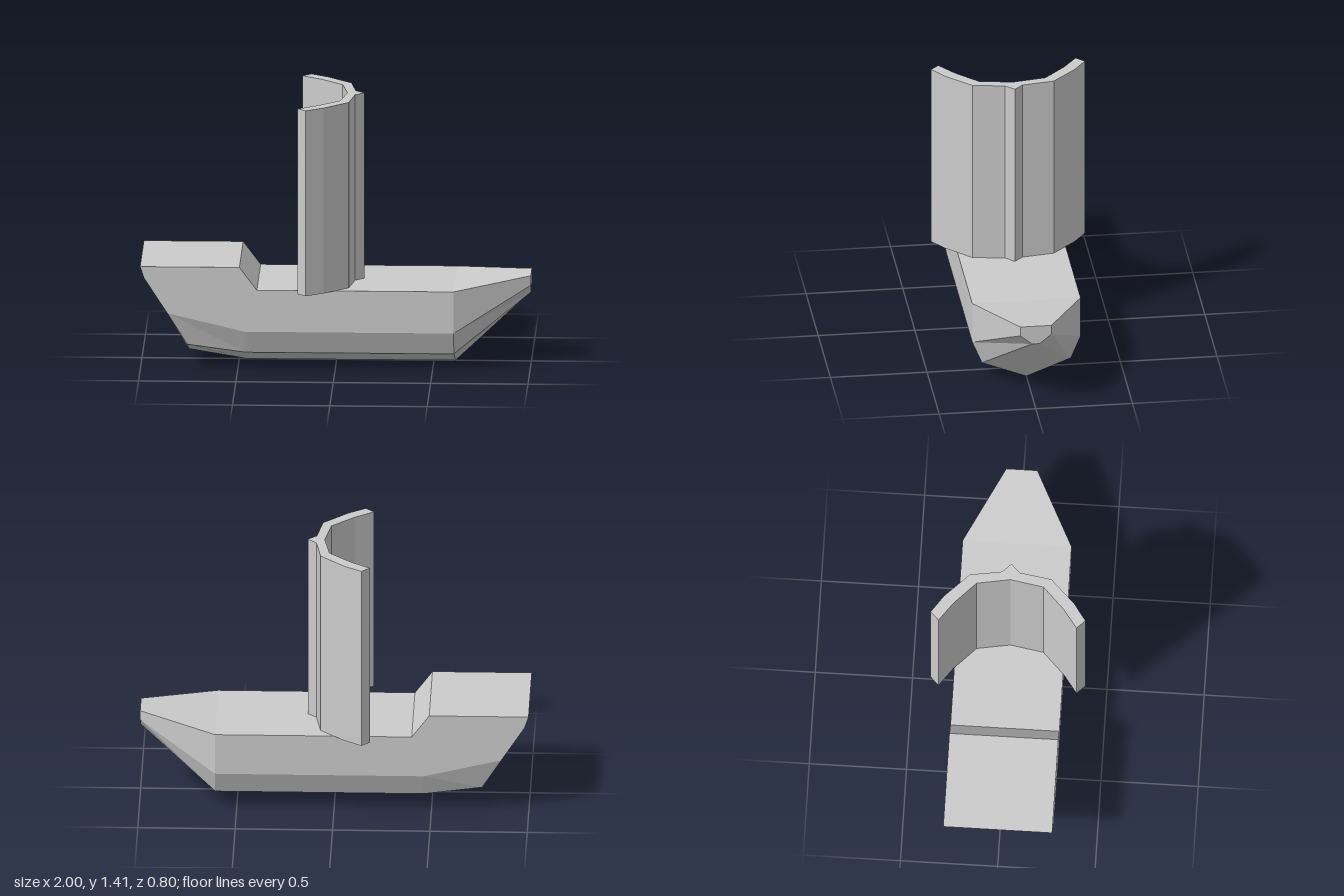
import * as THREE from 'three';

const material = new THREE.MeshStandardMaterial({ color: 0xcccccc, flatShading: true });

function addMesh(group, name, geometry) {
  const mesh = new THREE.Mesh(geometry, material);
  mesh.name = name;
  group.add(mesh);
  return mesh;
}

// Extrudes an outline of [a, b] points without bevels
function prism(points, depth) {
  const shape = new THREE.Shape(points.map(([a, b]) => new THREE.Vector2(a, b)));
  return new THREE.ExtrudeGeometry(shape, { depth, bevelEnabled: false });
}

// Hull stations, stern to bow: left-hand points [x, y, z] for deck, side, chine and keel
const stations = [
  [[-0.98, 0.49, 0.28], [-0.86, 0.305, 0.28], [-0.76, 0.13, 0.23], [-0.76, 0.05, 0]],
  [[-0.4, 0.43, 0.28], [-0.46, 0.21, 0.28], [-0.46, 0.09, 0.23], [-0.46, 0, 0]],
  [[0.61, 0.43, 0.28], [0.61, 0.21, 0.28], [0.61, 0.09, 0.23], [0.61, 0, 0]],
  [[1, 0.47, 0.08], [1, 0.42, 0.08], [1, 0.37, 0.02], [1, 0.37, 0]],
];

function hullGeometry() {
  // Mirror each station into a ring of seven points
  const rings = stations.map((s) => [
    ...s,
    ...s.slice(0, 3).reverse().map(([x, y, z]) => [x, y, -z]),
  ]);
  const n = 7;
  const index = [];
  for (let i = 0; i < rings.length - 1; i++) {
    for (let j = 0; j < n; j++) {
      const k = (j + 1) % n;
      const a = i * n + j, b = i * n + k, c = b + n, d = a + n;
      index.push(a, b, c, a, c, d);
    }
  }
  // Transom and bow caps
  const cap = [[0, 6, 5], [0, 5, 1], [1, 5, 3], [1, 3, 2], [5, 4, 3]];
  const last = (rings.length - 1) * n;
  for (const [a, b, c] of cap) index.push(a, b, c, last + a, last + c, last + b);

  const indexed = new THREE.BufferGeometry();
  indexed.setAttribute('position', new THREE.Float32BufferAttribute(rings.flat(2), 3));
  indexed.setIndex(index);
  const geometry = indexed.toNonIndexed();
  geometry.computeVertexNormals();
  return geometry;
}

export function createModel() {
  const model = new THREE.Group();
  model.name = 'sailingBoat';

  addMesh(model, 'hull', hullGeometry());

  // Raised stern deck with a sloping front
  const stern = prism([[-0.98, 0.49], [-0.4, 0.43], [-0.49, 0.55], [-1, 0.55]], 0.56);
  stern.translate(0, 0, -0.28);
  addMesh(model, 'sternDeck', stern);

  // Curved sail with a mast ridge at its middle, as half a plan outline [x, z]
  const outer = [[0.096, 0.045], [0.07, 0.21], [-0.055, 0.335], [-0.145, 0.398]];
  const inner = [[-0.188, 0.355], [-0.09, 0.283], [0.025, 0.172]];
  const half = [...outer, ...inner];
  const mirrored = half.map(([x, z]) => [x, -z]).reverse();
  const sail = prism([[0.142, 0], ...half, [0.055, 0], ...mirrored], 0.98);
  sail.rotateX(-Math.PI / 2);
  sail.translate(0, 0.43, 0);
  addMesh(model, 'sail', sail);

  return model;
}
